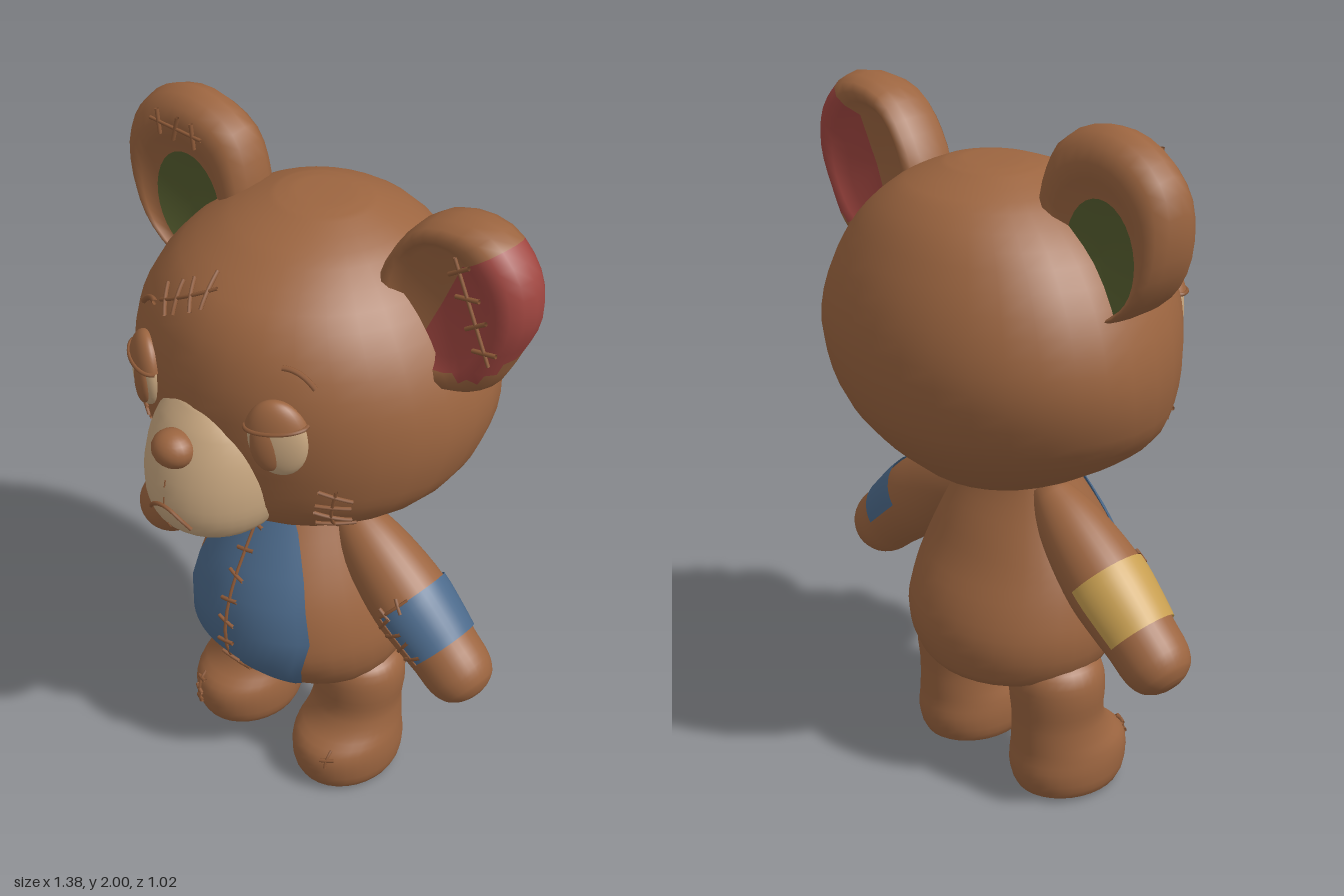
import * as THREE from 'three';
import { mergeGeometries } from 'three/addons/utils/BufferGeometryUtils.js';

const mat = (name, color, side = THREE.FrontSide) =>
  Object.assign(new THREE.MeshStandardMaterial({ color, side }), { name });
const fur = mat('brown fur', 0x9c6540);
const thread = mat('brown thread', 0x8e5a38, THREE.DoubleSide);
const cream = mat('cream', 0xc8a780);
const blue = mat('blue cloth', 0x4c6a8b, THREE.DoubleSide);
const yellow = mat('yellow cloth', 0xc79e50, THREE.DoubleSide);
const red = mat('red cloth', 0xa04640);
const green = mat('green cloth', 0x575f30);

const CX = -0.028; // the plush's own mid-plane

function add(parent, name, geometry, material, x = 0, y = 0, z = 0) {
  const m = new THREE.Mesh(geometry, material);
  m.name = name;
  m.position.set(x, y, z);
  parent.add(m);
  return m;
}

// Grid of points; pick(j, i) chooses a material slot for each quad
function grid(rows, cols, wrap, point, pick) {
  const pos = [], slots = [[], []], n = wrap ? cols : cols + 1;
  for (let j = 0; j <= rows; j++) for (let i = 0; i < n; i++) pos.push(...point(j, i));
  for (let j = 0; j < rows; j++) for (let i = 0; i < cols; i++) {
    const a = j * n + i, b = j * n + (i + 1) % n;
    slots[pick ? pick(j, i) : 0].push(a, a + n, b, b, a + n, b + n);
  }
  const g = new THREE.BufferGeometry();
  g.setAttribute('position', new THREE.Float32BufferAttribute(pos, 3));
  g.setIndex([...slots[0], ...slots[1]]);
  if (pick) {
    g.addGroup(0, slots[0].length, 0);
    g.addGroup(slots[0].length, slots[1].length, 1);
  }
  g.computeVertexNormals();
  return g;
}

// Smoothly interpolated section [y, half width, centre z, front depth, back depth]
function section(keys, y) {
  const last = keys.length - 1;
  let k = 0;
  while (k < last - 1 && y > keys[k + 1][0]) k++;
  const a = keys[k], b = keys[k + 1], h = b[0] - a[0];
  const t = Math.min(1, Math.max(0, (y - a[0]) / h));
  const slope = (i, c) => {
    const p = keys[Math.max(0, i - 1)], q = keys[Math.min(last, i + 1)];
    return (q[c] - p[c]) / (q[0] - p[0]) * h;
  };
  return a.map((v, c) => c === 0 ? y :
    v * (1 + 2 * t) * (1 - t) ** 2 + b[c] * t * t * (3 - 2 * t) +
    slope(k, c) * t * (1 - t) ** 2 + slope(k + 1, c) * t * t * (t - 1));
}
function skin(keys, y, a, off = 0) {
  const [, rx, cz, rf, rb] = section(keys, y), s = Math.sin(a);
  return [(rx + off) * Math.cos(a), y, cz + ((s > 0 ? rf : rb) + off) * s];
}
function loft(keys) {
  const ys = [];
  keys.forEach((k, i) => {
    const next = keys[i + 1];
    for (let s = 0; s < (next ? 3 : 1); s++) ys.push(next ? k[0] + (next[0] - k[0]) * s / 3 : k[0]);
  });
  const top = ys.length - 1;
  return grid(top + 2, 32, true, (j, i) => {
    const y = ys[Math.min(top, Math.max(0, j - 1))];
    return j === 0 || j === top + 2 ? [0, y, section(keys, y)[2]] : skin(keys, y, i / 16 * Math.PI);
  });
}
const frontOf = (keys) => (x, y) => {
  const [, rx, cz, rf] = section(keys, y);
  return cz + rf * Math.sqrt(Math.max(0, 1 - (x / rx) ** 2)) + 0.004;
};

// Thread laid over a surface z(x, y)
function strand(z, a, b, r = 0.006, bow = 0) {
  const pts = [];
  for (let i = 0; i <= 6; i++) {
    const t = i / 6, x = a[0] + (b[0] - a[0]) * t, y = a[1] + (b[1] - a[1]) * t + bow * 4 * t * (1 - t);
    pts.push(new THREE.Vector3(x, y, z(x, y)));
  }
  return new THREE.TubeGeometry(new THREE.CatmullRomCurve3(pts), 10, r, 6);
}
function stitches(parent, name, z, a, b, n, half = 0.035) {
  const dx = b[0] - a[0], dy = b[1] - a[1], L = Math.hypot(dx, dy);
  const parts = [strand(z, a, b, 0.005)];
  for (let i = 0; i < n; i++) {
    const t = (i + 0.5) / n, lean = (i % 2 ? 0.25 : -0.15) * half;
    const x = a[0] + dx * t, y = a[1] + dy * t;
    const ox = (-dy * half + dx * lean) / L, oy = (dx * half + dy * lean) / L;
    parts.push(strand(z, [x - ox, y - oy], [x + ox, y + oy]));
  }
  add(parent, name, mergeGeometries(parts), thread);
}

const headKeys = [
  [0.936, 0.08, -0.06, 0.08, 0.08], [0.955, 0.18, -0.06, 0.2, 0.18], [1.0, 0.285, -0.03, 0.29, 0.285],
  [1.1, 0.43, -0.02, 0.355, 0.4], [1.2, 0.5, -0.06, 0.425, 0.42], [1.35, 0.53, -0.1, 0.49, 0.41],
  [1.5, 0.495, -0.1, 0.485, 0.395], [1.65, 0.4, -0.1, 0.425, 0.335], [1.76, 0.27, -0.1, 0.285, 0.25],
  [1.82, 0.145, -0.1, 0.14, 0.13], [1.833, 0.08, -0.1, 0.07, 0.07]];
const muzzleKeys = [
  [1.005, 0.07, 0.3, 0.06, 0.1], [1.02, 0.125, 0.3, 0.13, 0.1], [1.07, 0.175, 0.3, 0.185, 0.1],
  [1.15, 0.195, 0.3, 0.2, 0.1], [1.25, 0.19, 0.3, 0.182, 0.1], [1.34, 0.16, 0.3, 0.142, 0.1],
  [1.395, 0.11, 0.3, 0.1, 0.1], [1.412, 0.06, 0.29, 0.09, 0.1]];
const bodyKeys = [
  [0.335, 0.1, -0.03, 0.12, 0.13], [0.355, 0.22, -0.03, 0.2, 0.22], [0.4, 0.295, -0.03, 0.25, 0.262],
  [0.5, 0.325, -0.03, 0.32, 0.28], [0.6, 0.315, -0.02, 0.315, 0.265], [0.7, 0.285, -0.02, 0.295, 0.215],
  [0.8, 0.24, -0.02, 0.245, 0.17], [0.9, 0.19, -0.03, 0.195, 0.11], [0.96, 0.16, -0.03, 0.155, 0.09]];
const legKeys = [
  [0, 0.1, 0, 0.13, 0.13], [0.015, 0.138, 0, 0.165, 0.16], [0.08, 0.153, 0, 0.185, 0.18],
  [0.14, 0.15, 0, 0.175, 0.175], [0.19, 0.138, -0.02, 0.14, 0.155], [0.25, 0.132, -0.035, 0.125, 0.14],
  [0.33, 0.14, -0.04, 0.13, 0.14], [0.4, 0.128, -0.04, 0.12, 0.13], [0.44, 0.08, -0.04, 0.08, 0.08]];
const armKeys = [[0, 0.05], [0.1, 0.085], [0.2, 0.105], [0.32, 0.116], [0.42, 0.11], [0.5, 0.102],
  [0.57, 0.098], [0.615, 0.08], [0.638, 0.05], [0.646, 0.025]].map(([s, r]) => [s, r, -0.035, r, r]);

// Puffy ear with a slightly sunken middle, between an inner oval and an outer outline
const earProfile = [[0, 0.045], [1, 0.052], [1.3, 0.078], [1.55, 0.084], [1.78, 0.07], [1.93, 0.04], [2, 0],
  [1.93, -0.04], [1.78, -0.07], [1.55, -0.084], [1.3, -0.078], [1, -0.052], [0, -0.045]];
function ear(outline, cx, cy, start, pick) {
  const rows = earProfile.length - 1;
  const curve = new THREE.CatmullRomCurve3(outline.map(([x, y]) => new THREE.Vector3(x, y, 0)), true);
  return grid(rows, 30, true, (j, i) => {
    const [u, z] = earProfile[j], o = curve.getPoint(i / 30), a = start + i / 15 * Math.PI;
    const k = Math.min(u, 1), v = Math.max(0, u - 1);
    const x = cx + 0.12 * k * Math.cos(a), y = cy + 0.15 * k * Math.sin(a);
    return [x + (o.x - x) * v, y + (o.y - y) * v, z - 0.072];
  }, (j, i) => pick(Math.min(j, rows - 1 - j), i));
}

function eye(parent, side) {
  const g = new THREE.Group(), x = side * 0.237;
  g.name = side > 0 ? 'leftEye' : 'rightEye';
  g.position.set(x, 1.39, frontOf(headKeys)(x, 1.39) - 0.01);
  g.rotation.set(0, side * 0.52, side * 0.12);
  parent.add(g);
  const ball = new THREE.SphereGeometry(1, 24, 16);
  add(g, 'eyeball', ball, cream).scale.set(0.08, 0.11, 0.036);
  add(g, 'pupil', ball, fur, -side * 0.028, -0.012, 0.018).scale.set(0.043, 0.075, 0.022);
  const cut = 1.2;
  add(g, 'eyelid', new THREE.SphereGeometry(1, 24, 10, 0, Math.PI * 2, 0, cut), fur).scale.set(0.088, 0.116, 0.046);
  const rim = [];
  for (let i = 0; i <= 8; i++) {
    const a = i / 8 * Math.PI;
    rim.push(new THREE.Vector3(Math.cos(a) * 0.083, 0.116 * Math.cos(cut), Math.sin(a) * 0.044));
  }
  add(g, 'eyelidSeam', new THREE.TubeGeometry(new THREE.CatmullRomCurve3(rim), 20, 0.006, 6), thread);
}

function arm(parent, side, cloth, s0, s1, reach) {
  const g = new THREE.Group();
  g.name = side > 0 ? 'leftArm' : 'rightArm';
  g.position.set(side * 0.145, 0.922, 0);
  g.rotation.z = -side * 2.278;
  parent.add(g);
  add(g, 'armShape', loft(armKeys), fur);
  // cloth wraps the outer side
  const mid = side > 0 ? Math.PI : 0, edge = side * -0.116 * Math.cos(reach);
  add(g, 'armPatch', grid(6, 20, false, (j, i) =>
    skin(armKeys, s0 + (s1 - s0) * j / 6, mid + (i / 10 - 1) * reach, 0.006)), cloth);
  stitches(g, 'armStitches', frontOf(armKeys), [edge, s0], [edge, s1], 4, 0.03);
  stitches(g, 'armTopStitches', frontOf(armKeys), [edge, s0], [-side * 0.09, s0], 2, 0.022);
}

export function createModel() {
  const model = new THREE.Group();
  model.name = 'plushBear';
  const bear = new THREE.Group();
  bear.name = 'bear';
  bear.position.x = CX;
  model.add(bear);

  // Head and face
  const headZ = frontOf(headKeys), muzzleZ = frontOf(muzzleKeys);
  add(bear, 'head', loft(headKeys), fur);
  const face = new THREE.Group();
  face.name = 'muzzleGroup';
  face.position.x = -0.014;
  bear.add(face);
  add(face, 'muzzle', loft(muzzleKeys), cream);
  add(face, 'nose', new THREE.SphereGeometry(1, 20, 14), fur, 0, 1.305, 0.459).scale.set(0.062, 0.052, 0.056);
  add(face, 'mouth', strand(muzzleZ, [-0.075, 1.09], [0.075, 1.09], 0.006, 0.052), thread);
  for (const y of [1.06, 1.15, 1.2]) add(face, 'muzzleSeam', strand(muzzleZ, [0, y], [0, y + 0.02], 0.002), thread);
  for (const side of [1, -1]) {
    eye(bear, side);
    add(bear, 'eyebrow', strand(headZ, [side * 0.225, 1.585], [side * 0.305, 1.54], 0.008, 0.012), thread);
  }
  stitches(bear, 'foreheadStitches', headZ, [-0.2, 1.605], [-0.02, 1.7], 4);
  stitches(bear, 'rightCheekStitches', headZ, [-0.37, 1.13], [-0.265, 1.315], 4);
  stitches(bear, 'leftCheekStitches', headZ, [0.315, 1.07], [0.36, 1.235], 4);

  // Ears: green middle on the right, red outer half on the left
  add(model, 'rightEar', ear([[-0.23, 1.81], [-0.28, 1.935], [-0.43, 1.995], [-0.57, 1.965], [-0.665, 1.87],
    [-0.67, 1.71], [-0.6, 1.58], [-0.44, 1.49], [-0.3, 1.55], [-0.23, 1.68]], -0.45, 1.67, 0.3,
    (j) => (j === 0 ? 1 : 0)), [fur, green]);
  const redFrom = [20, 22, 24, 25, 26, 27];
  add(model, 'leftEar', ear([[0.68, 1.74], [0.665, 1.86], [0.565, 1.955], [0.385, 1.94], [0.275, 1.83],
    [0.22, 1.68], [0.28, 1.53], [0.42, 1.46], [0.565, 1.51], [0.63, 1.62]], 0.43, 1.72, 0,
    (j, i) => (i < 5 || i >= redFrom[j] ? 1 : 0)), [fur, red]);
  const earZ = () => 0.013;
  stitches(model, 'rightEarStitches', earZ, [-0.55, 1.905], [-0.36, 1.9], 3);
  stitches(model, 'leftEarStitches', earZ, [0.49, 1.89], [0.61, 1.63], 4);

  // Body with belly patch and seam
  add(bear, 'body', loft(bodyKeys), fur);
  const belly = [[0.348, 0.08], [0.37, 0.135], [0.415, 0.18], [0.5, 0.208], [0.6, 0.225], [0.7, 0.2],
    [0.78, 0.172], [0.85, 0.14], [0.9, 0.115], [0.94, 0.088]];
  add(bear, 'bellyPatch', grid(belly.length - 1, 16, false, (j, i) => {
    const [y, w] = belly[j], a = Math.acos(w / section(bodyKeys, y)[1]);
    return skin(bodyKeys, y, a + (Math.PI - 2 * a) * i / 16, 0.009);
  }), blue);
  const bodyZ = (x, y) => frontOf(bodyKeys)(x, y) + 0.007;
  stitches(bear, 'bellyStitches', bodyZ, [0, 0.37], [0, 0.935], 8, 0.028);

  // Arms
  arm(bear, 1, blue, 0.315, 0.48, 1.6);
  arm(bear, -1, yellow, 0.3, 0.485, 1.55);

  // Legs
  for (const side of [1, -1]) {
    const leg = new THREE.Group();
    leg.name = side > 0 ? 'leftLeg' : 'rightLeg';
    leg.position.x = side * 0.203;
    bear.add(leg);
    add(leg, 'legShape', loft(legKeys), fur);
    const x = side > 0 ? 0.06 : -0.05;
    stitches(leg, 'footStitches', frontOf(legKeys), [x, side > 0 ? 0.11 : 0.05], [x, 0.16], side > 0 ? 1 : 3, 0.018);
  }
  return model;
}
